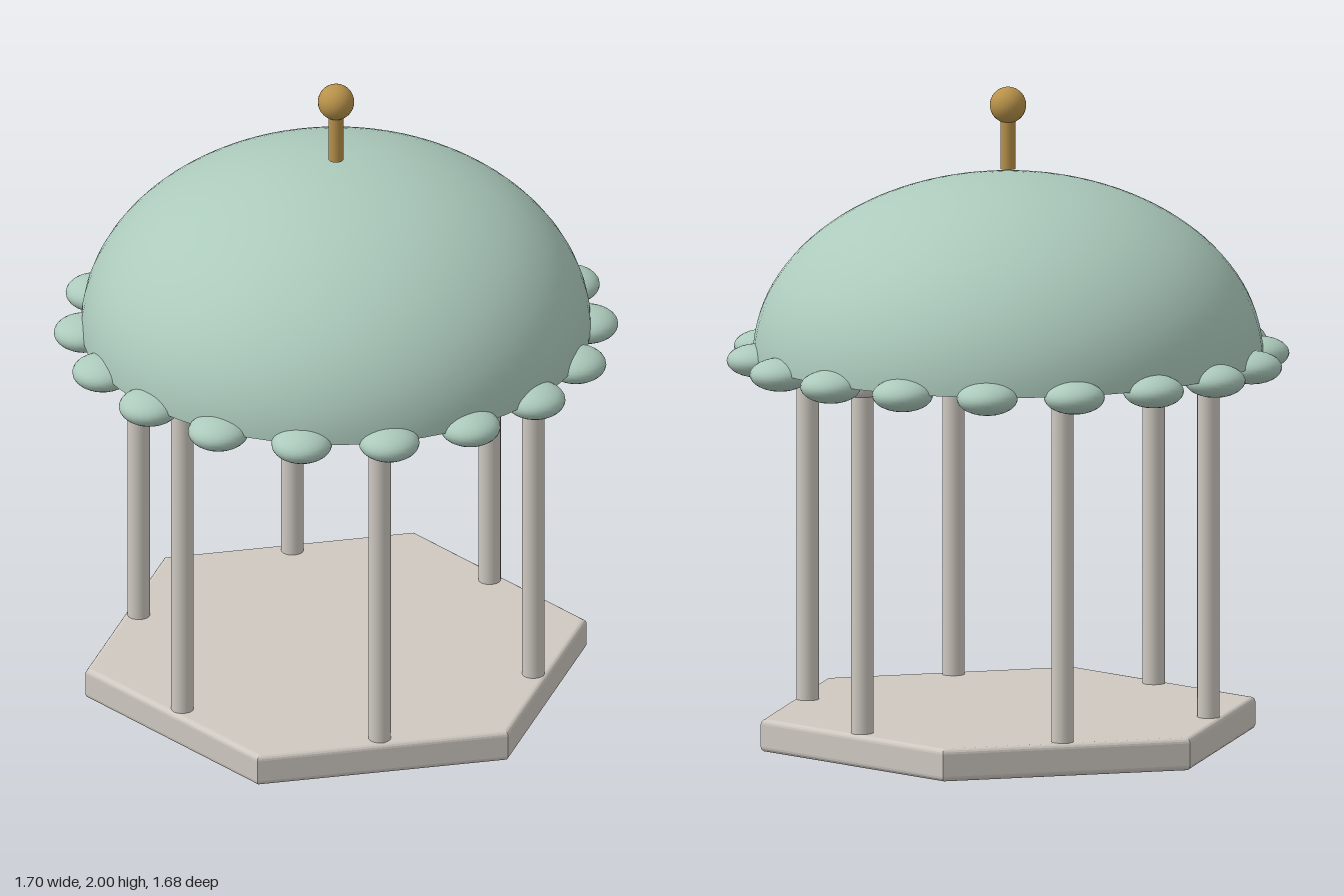
import * as THREE from 'three';

function material(name, color, side = THREE.FrontSide) {
  const m = new THREE.MeshStandardMaterial({ color, side });
  m.name = name;
  return m;
}

export function createModel() {
  const model = new THREE.Group();
  model.name = 'gazebo';
  const stone = material('stone', 0xcfc9c1);
  const copper = material('paleGreen', 0xaccabc, THREE.DoubleSide);
  const gold = material('gold', 0xb8924a);

  function add(name, geometry, mat, x, y, z, parent = model) {
    const mesh = new THREE.Mesh(geometry, mat);
    mesh.name = name;
    mesh.position.set(x, y, z);
    parent.add(mesh);
    return mesh;
  }

  // Hexagonal floor with softened edges, corners pointing to front and back
  const bevel = 0.016;
  const corners = [];
  for (let i = 0; i < 6; i++) {
    const a = Math.PI / 2 + (i * Math.PI) / 3;
    corners.push(new THREE.Vector2(Math.cos(a), Math.sin(a)).multiplyScalar(0.755));
  }
  const floor = new THREE.ExtrudeGeometry(new THREE.Shape(corners), {
    depth: 0.1 - 2 * bevel, bevelEnabled: true, bevelThickness: bevel, bevelSize: bevel, bevelSegments: 4,
  });
  floor.rotateX(-Math.PI / 2);
  add('floor', floor, stone, 0, bevel, 0);

  // Six columns with ball capitals
  const shaft = new THREE.CylinderGeometry(0.034, 0.034, 1.06, 20);
  const capital = new THREE.SphereGeometry(0.045, 20, 14);
  for (let i = 0; i < 6; i++) {
    const a = (i * Math.PI) / 3;
    const column = new THREE.Group();
    column.name = 'column';
    column.position.set(0.625 * Math.cos(a), 0, 0.625 * Math.sin(a));
    add('shaft', shaft, stone, 0, 0.62, 0, column);
    add('capital', capital, stone, 0, 1.16, 0, column);
    model.add(column);
  }

  // Open flattened dome
  const dome = new THREE.SphereGeometry(0.77, 64, 28, 0, Math.PI * 2, 0, Math.PI / 2);
  dome.scale(1, 0.55 / 0.77, 1);
  add('dome', dome, copper, 0, 1.18, 0);

  // Ring of flattened beads around the rim
  const bead = new THREE.SphereGeometry(0.092, 24, 16);
  bead.scale(1, 0.54, 1);
  for (let i = 0; i < 18; i++) {
    const a = (i * Math.PI) / 9;
    add('rimBead', bead, copper, 0.76 * Math.cos(a), 1.175, 0.76 * Math.sin(a));
  }

  // Finial
  add('finialRod', new THREE.CylinderGeometry(0.023, 0.023, 0.16, 20), gold, 0, 1.83, 0);
  add('finialBall', new THREE.SphereGeometry(0.055, 28, 18), gold, 0, 1.945, 0);

  return model;
}
